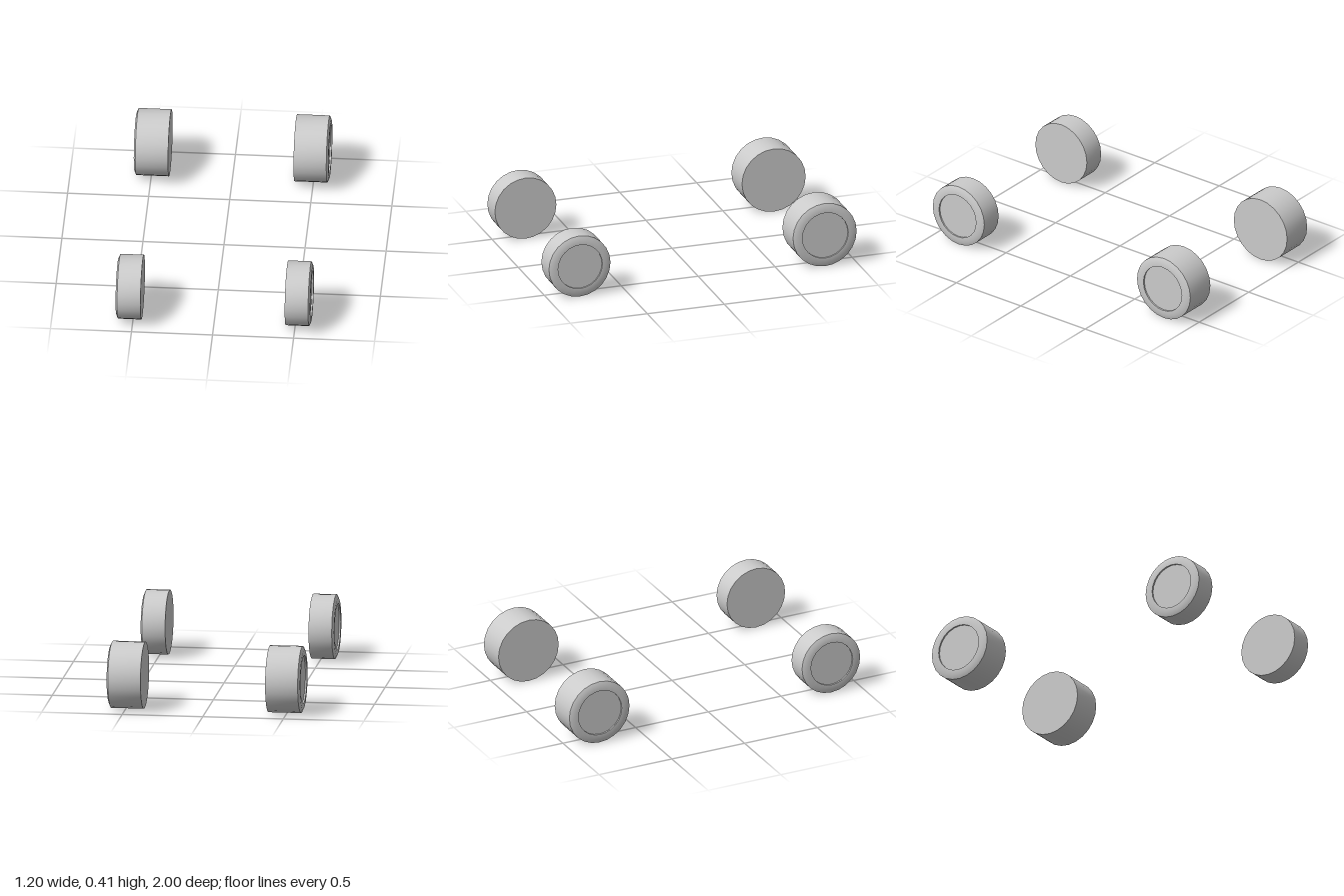
import * as THREE from 'three';
import { toCreasedNormals } from 'three/addons/utils/BufferGeometryUtils.js';

const SEGMENTS = 24;
const OUTER_X = 0.6;

// Wheel turned about its axle: flat inner face, tread, bevelled rim, shallow hub recess
function wheelGeometry(radius, width, side) {
  const hub = radius * 0.72;
  const profile = [
    [0, 0],
    [radius, 0],
    [radius, width - 0.011],
    [radius - 0.025, width],
    [hub, width],
    [hub, width - 0.01],
    [0, width - 0.01],
  ].map(([r, y]) => new THREE.Vector2(r, y));
  const lathe = new THREE.LatheGeometry(profile, SEGMENTS);
  lathe.rotateZ(-side * Math.PI / 2); // outer face points away from the centre
  return toCreasedNormals(lathe, Math.PI / 6);
}

export function createModel() {
  const model = new THREE.Group();
  const material = new THREE.MeshStandardMaterial({ color: 0xcccccc });

  // Rear wheels are slightly larger and wider than the front ones
  const axles = [
    { name: 'front', radius: 0.2, width: 0.155, z: 0.8 },
    { name: 'rear', radius: 0.207, width: 0.213, z: -0.793 },
  ];
  for (const { name, radius, width, z } of axles) {
    for (const side of [1, -1]) {
      const wheel = new THREE.Mesh(wheelGeometry(radius, width, side), material);
      wheel.name = name + (side > 0 ? 'LeftWheel' : 'RightWheel');
      wheel.position.set(side * (OUTER_X - width), radius, z);
      model.add(wheel);
    }
  }
  return model;
}
